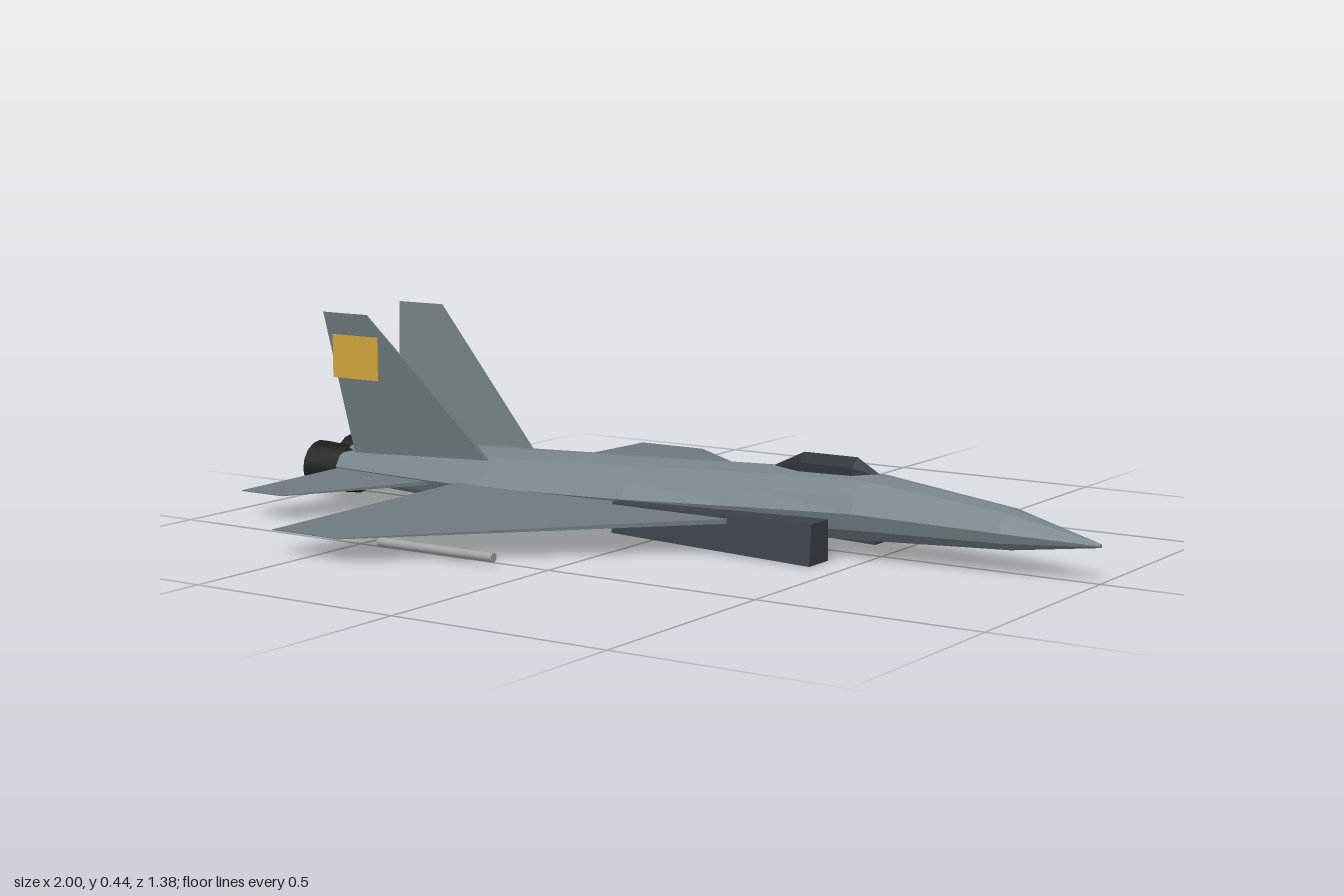
import * as THREE from 'three';
import { ConvexGeometry } from 'three/addons/geometries/ConvexGeometry.js';

const material = (name, color) => {
  const m = new THREE.MeshStandardMaterial({ color });
  m.name = name;
  return m;
};

// Faceted skin through rings of equal length, closed at both ends
function loft(rings) {
  const out = [];
  const tri = (...pts) => pts.forEach((p) => out.push(...p));
  const n = rings[0].length;
  for (let i = 0; i < rings.length - 1; i++) {
    for (let j = 0; j < n; j++) {
      const k = (j + 1) % n;
      const a = rings[i][j], b = rings[i][k], c = rings[i + 1][k], d = rings[i + 1][j];
      tri(a, b, c);
      tri(a, c, d);
    }
  }
  const first = rings[0], last = rings[rings.length - 1];
  for (let j = 1; j < n - 1; j++) {
    tri(first[0], first[j + 1], first[j]);
    tri(last[0], last[j], last[j + 1]);
  }
  const g = new THREE.BufferGeometry();
  g.setAttribute('position', new THREE.Float32BufferAttribute(out, 3));
  g.computeVertexNormals();
  return g;
}

const convex = (pts) => new ConvexGeometry(pts.map((p) => new THREE.Vector3(...p)));

// Thin tapered surface: four corners, thick at the root and thin at the tip
function panel(corners, axis, rootHalf, tipHalf) {
  const pts = [];
  corners.forEach((c, i) => {
    for (const s of [-1, 1]) {
      const p = [...c];
      p[axis] += s * (i < 2 ? rootHalf : tipHalf);
      pts.push(p);
    }
  });
  return convex(pts);
}

export function createModel() {
  const body = material('body grey', 0x778388);
  const wingGrey = material('wing grey', 0x6e797d);
  const intakeGrey = material('intake grey', 0x3d434b);
  const glass = material('dark canopy', 0x2c3136);
  const black = material('nozzle black', 0x1c1d1e);
  const storeGrey = material('store grey', 0xa0a3a5);
  const yellow = material('panel yellow', 0xcfa238);

  const model = new THREE.Group();
  model.name = 'jet';
  const add = (name, geometry, mat) => {
    const mesh = new THREE.Mesh(geometry, mat);
    mesh.name = name;
    model.add(mesh);
    return mesh;
  };

  // Fuselage stations: x, half width, bottom y, top y
  const stations = [
    [-0.9, 0.118, 0.028, 0.128],
    [-0.63, 0.14, 0.017, 0.138],
    [-0.45, 0.15, 0.012, 0.144],
    [-0.07, 0.14, 0.015, 0.16],
    [0.23, 0.118, 0.024, 0.173],
    [0.48, 0.097, 0.033, 0.178],
    [0.8, 0.058, 0.049, 0.137],
    [1, 0.004, 0.076, 0.084],
  ];
  const sides = 12;
  add('fuselage', loft(stations.map(([x, w, bottom, top]) =>
    Array.from({ length: sides }, (_, i) => {
      const a = (i / sides) * Math.PI * 2;
      return [x, (top + bottom) / 2 + Math.cos(a) * (top - bottom) / 2, Math.sin(a) * w];
    }))), body);

  // Canopy: ridged hump with pointed ends
  const canopy = [[0.225, 0.168, 0], [0.505, 0.17, 0]];
  for (const x of [0.31, 0.44]) {
    canopy.push([x, 0.208, 0], [x, 0.15, 0]);
    for (const s of [-1, 1]) canopy.push([x, 0.188, s * 0.025], [x, 0.165, s * 0.027]);
  }
  add('canopy', convex(canopy), glass);

  for (const s of [1, -1]) {
    const side = s > 0 ? 'near' : 'far';

    add(side + 'Wing', panel([
      [0.3, 0.077, s * 0.1], [-0.515, 0.077, s * 0.1],
      [-0.4, 0.055, s * 0.69], [-0.58, 0.055, s * 0.69]], 1, 0.006, 0.001), wingGrey);

    add(side + 'Tailplane', panel([
      [-0.575, 0.072, s * 0.09], [-0.89, 0.072, s * 0.09],
      [-0.815, 0.06, s * 0.4], [-0.935, 0.06, s * 0.4]], 1, 0.005, 0.001), wingGrey);

    // Fin leaning outward
    add(side + 'Fin', panel([
      [-0.446, 0.1, s * 0.08], [-0.865, 0.1, s * 0.08],
      [-0.78, 0.445, s * 0.138], [-0.91, 0.445, s * 0.138]], 2, 0.005, 0.001), wingGrey);

    const plate = add(side + 'FinPanel', new THREE.BoxGeometry(0.134, 0.1, 0.003), yellow);
    plate.position.set(-0.812, 0.345, s * 0.142);

    // Intake: larger at the mouth, outer wall flared at the foot
    add(side + 'Intake', convex([
      [0.428, 0.002, s * 0.1], [0.428, 0.002, s * 0.176],
      [0.428, 0.09, s * 0.1], [0.428, 0.09, s * 0.168],
      [-0.075, 0.018, s * 0.1], [-0.075, 0.018, s * 0.168],
      [-0.075, 0.086, s * 0.1], [-0.075, 0.086, s * 0.163]]), intakeGrey);

    // Engine nozzle, wider at the exit
    const nozzle = add(side + 'Nozzle',
      new THREE.CylinderGeometry(0.061, 0.054, 0.125, 16), black);
    nozzle.rotation.z = Math.PI / 2;
    nozzle.position.set(-0.9375, 0.064, s * 0.058);

    // Slim store under the wing
    const store = add(side + 'Store', new THREE.CylinderGeometry(0.01, 0.01, 0.305, 10), storeGrey);
    store.rotation.z = Math.PI / 2;
    store.position.set(-0.268, 0.021, s * 0.532);
  }
  return model;
}
